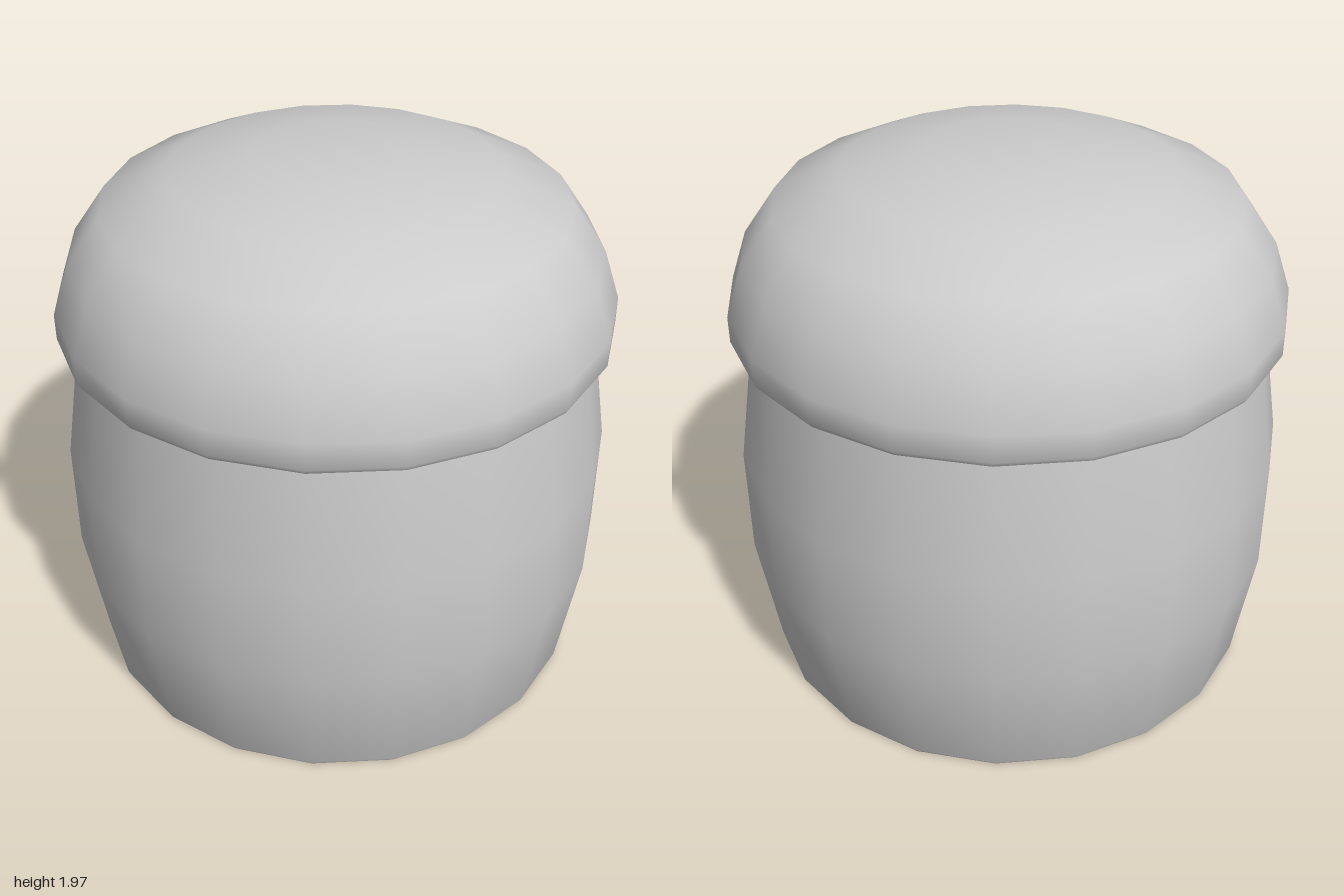
import * as THREE from 'three';
import { toCreasedNormals } from 'three/addons/utils/BufferGeometryUtils.js';

const SIDES = 20;
const material = new THREE.MeshStandardMaterial({ color: 0xcccccc });

// Revolve a profile of [radius, height] pairs, keeping rim edges crisp
function turned(name, profile) {
  const points = profile.map(([r, y]) => new THREE.Vector2(r, y));
  const geometry = toCreasedNormals(new THREE.LatheGeometry(points, SIDES), 0.7);
  const mesh = new THREE.Mesh(geometry, material);
  mesh.name = name;
  return mesh;
}

export function createModel() {
  const group = new THREE.Group();
  group.name = 'liddedJar';

  // Hollow barrel-shaped wall, open at the bottom
  group.add(turned('barrelWall', [
    [0.9, 0.012], [0.908, 0], [0.924, 0], [0.93, 0.012],
    [1, 0.47], [1, 0.88], [0.93, 1.33], [0.925, 1.37],
    [0.895, 1.37], [0.9, 1.33], [0.97, 0.88], [0.97, 0.47], [0.9, 0.012],
  ]));

  // Domed cap with a rolled lip and a hollow underside
  group.add(turned('domedCap', [
    [0.9, 1.335], [0.96, 1.328], [0.985, 1.335], [0.997, 1.355],
    [0.997, 1.45], [0.935, 1.63], [0.815, 1.8], [0.58, 1.905], [0.28, 1.965], [0, 1.965],
    [0, 1.935], [0.27, 1.935], [0.56, 1.875], [0.79, 1.775], [0.905, 1.62],
    [0.96, 1.45], [0.95, 1.38], [0.9, 1.37], [0.9, 1.335],
  ]));

  return group;
}
